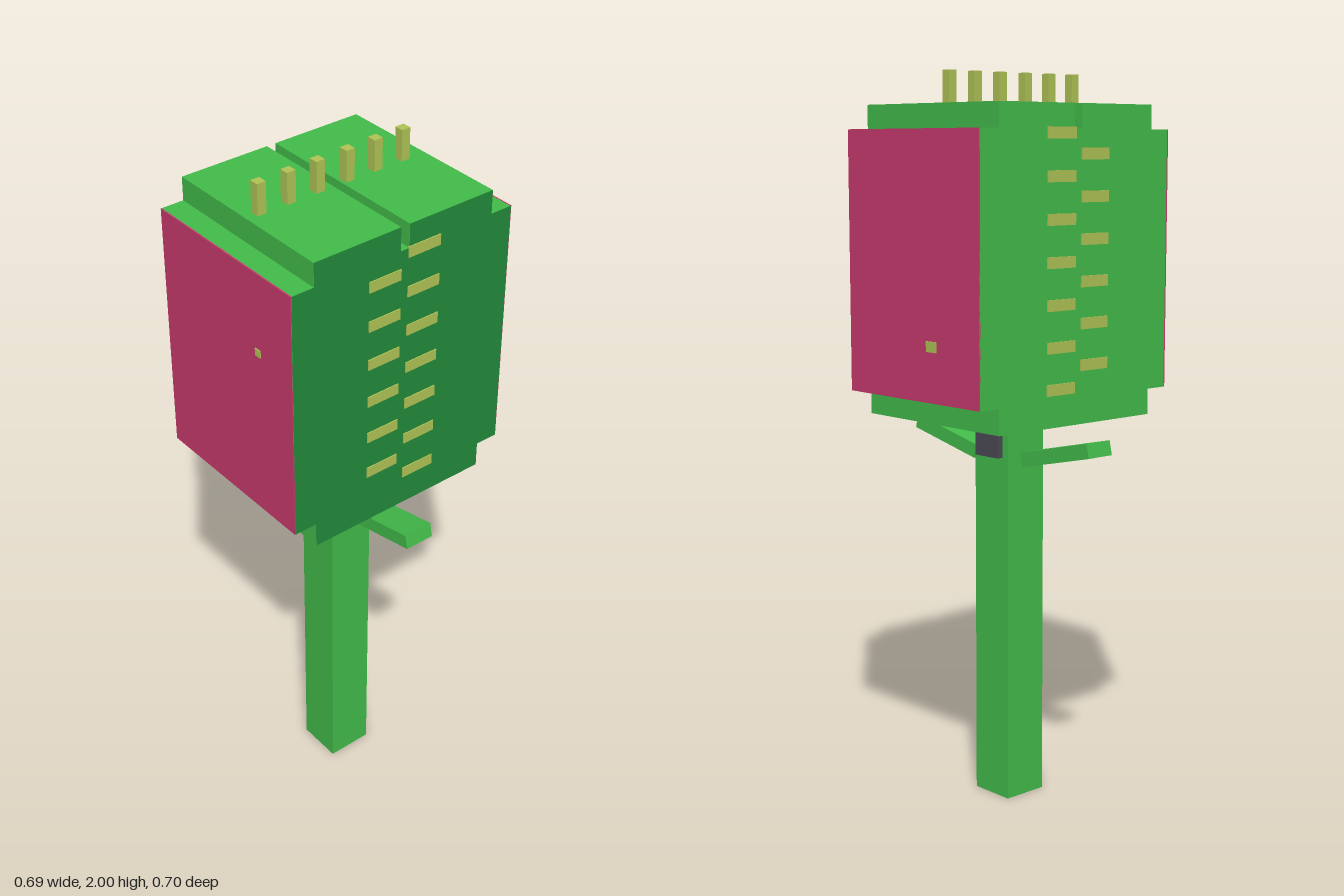
import * as THREE from 'three';

const mat = (name, color) => {
  const m = new THREE.MeshStandardMaterial({ color });
  m.name = name;
  return m;
};

export function createModel() {
  const leafGreen = mat('leafGreen', 0x43bc4a);
  const darkGreen = mat('darkGreen', 0x228b3c);
  const pink = mat('pink', 0xcb3b6f);
  const spineYellow = mat('spineYellow', 0xb0c455);
  const blue = mat('blue', 0x3f4bcf);
  const grey = mat('grey', 0x4b4a55);
  const brown = mat('brown', 0x663c26);

  const model = new THREE.Group();
  model.name = 'plant';
  const add = (name, geometry, material, x = 0, y = 0, z = 0) => {
    const mesh = new THREE.Mesh(geometry, material);
    mesh.name = name;
    mesh.position.set(x, y, z);
    model.add(mesh);
    return mesh;
  };
  const box = (name, material, w, h, d, x, y, z) =>
    add(name, new THREE.BoxGeometry(w, h, d), material, x, y, z);

  // Head: stepped outline with a slit across the top
  const halfDepth = 0.262;
  const outline = new THREE.Shape([
    [-0.275, 1.08], [0.275, 1.08], [0.275, 1.15], [0.34, 1.15],
    [0.34, 1.85], [0.275, 1.85], [0.275, 1.915], [0.012, 1.915],
    [0.012, 1.85], [-0.015, 1.85], [-0.015, 1.915], [-0.275, 1.915],
    [-0.275, 1.85], [-0.34, 1.85], [-0.34, 1.15], [-0.275, 1.15],
  ].map(([x, y]) => new THREE.Vector2(x, y)));
  add('head', new THREE.ExtrudeGeometry(outline, { depth: halfDepth * 2, bevelEnabled: false }),
    leafGreen, 0, 0, -halfDepth);
  add('headFront', new THREE.ShapeGeometry(outline), darkGreen, 0, 0, halfDepth + 0.001);

  // Pink cheeks
  for (const s of [-1, 1]) box('cheek', pink, 0.004, 0.7, 0.524, s * 0.34, 1.5, 0);
  box('cheekSpot', spineYellow, 0.004, 0.028, 0.04, 0.343, 1.297, -0.078);
  box('cheekSpot', spineYellow, 0.004, 0.02, 0.02, -0.343, 1.63, 0.13);

  // Lining at the bottom of the slit
  box('slitLining', pink, 0.026, 0.004, 0.44, -0.0015, 1.851, 0);
  box('slitCore', brown, 0.026, 0.004, 0.176, -0.0015, 1.853, 0);

  // Staggered spines on the front and back
  for (const s of [-1, 1]) {
    for (let i = 0; i < 7; i++) {
      box('spine', spineYellow, 0.1, 0.03, 0.006, 0.059, 1.84 - i * 0.11, s * 0.263);
      if (i < 6) box('spine', spineYellow, 0.098, 0.03, 0.006, -0.062, 1.787 - i * 0.11, s * 0.263);
    }
  }

  // Prongs along the crown
  for (const x of [-0.234, -0.146, -0.058, 0.034, 0.122, 0.21]) {
    box('prong', spineYellow, 0.026, 0.09, 0.026, x, 1.955, 0);
  }

  // Stalk and the blocks at its neck
  box('stalk', leafGreen, 0.132, 1.08, 0.132, 0, 0.54, 0);
  box('neckUpper', blue, 0.17, 0.04, 0.09, 0, 1.06, 0);
  box('neckLower', grey, 0.17, 0.07, 0.09, 0, 1.005, 0);

  // Tilted leaves
  for (const s of [-1, 1]) {
    const leaf = box('leaf', leafGreen, 0.086, 0.04, 0.26, 0, 0.996, s * 0.221);
    leaf.rotation.x = -s * 0.22;
  }
  return model;
}
